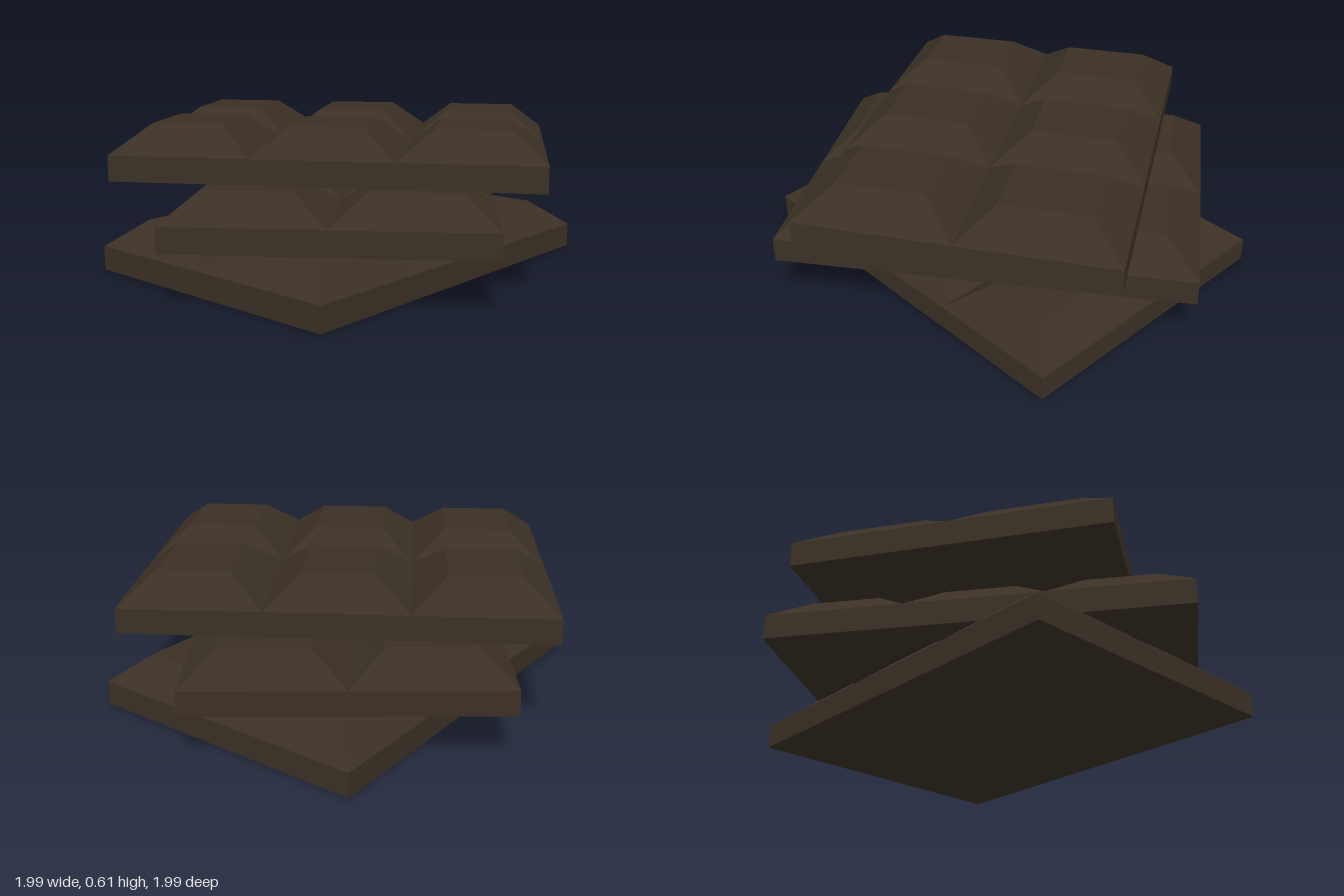
import * as THREE from 'three';

const LENGTH = 1.6, WIDTH = 1.19, BASE = 0.097, BUMP = 0.107, INSET = 0.13;
const COLS = 3, ROWS = 2;

// Box whose top face is pulled in on all sides, standing on y = 0
function bevelledBlock(w, h, d, inset) {
  const geometry = new THREE.BoxGeometry(w, h, d).translate(0, h / 2, 0);
  const p = geometry.attributes.position;
  for (let i = 0; i < p.count; i++) {
    if (p.getY(i) < h / 2) continue;
    p.setX(i, p.getX(i) - Math.sign(p.getX(i)) * inset);
    p.setZ(i, p.getZ(i) - Math.sign(p.getZ(i)) * inset);
  }
  geometry.computeVertexNormals();
  return geometry;
}

export function createModel() {
  const model = new THREE.Group();
  model.name = 'chocolateStack';
  const chocolate = new THREE.MeshStandardMaterial({ color: 0x3b3025 });
  chocolate.name = 'dark chocolate';

  const cellX = LENGTH / COLS, cellZ = WIDTH / ROWS;
  const baseGeometry = new THREE.BoxGeometry(LENGTH, BASE, WIDTH).translate(0, BASE / 2, 0);
  const pieceGeometry = bevelledBlock(cellX, BUMP, cellZ, INSET);

  // One bar: flat base with a grid of bevelled pieces
  function makeBar(name) {
    const bar = new THREE.Group();
    bar.name = name;
    const base = new THREE.Mesh(baseGeometry, chocolate);
    base.name = 'barBase';
    bar.add(base);
    for (let i = 0; i < COLS; i++) {
      for (let j = 0; j < ROWS; j++) {
        const piece = new THREE.Mesh(pieceGeometry, chocolate);
        piece.name = 'piece';
        piece.position.set((i - (COLS - 1) / 2) * cellX, BASE, (j - (ROWS - 1) / 2) * cellZ);
        bar.add(piece);
      }
    }
    return bar;
  }

  // Three bars stacked, each turned differently
  [['bottomBar', 0], ['middleBar', 36.6], ['topBar', -57.5]].forEach(([name, turn], level) => {
    const bar = makeBar(name);
    bar.position.y = level * (BASE + BUMP);
    bar.rotation.y = THREE.MathUtils.degToRad(turn);
    model.add(bar);
  });
  return model;
}
